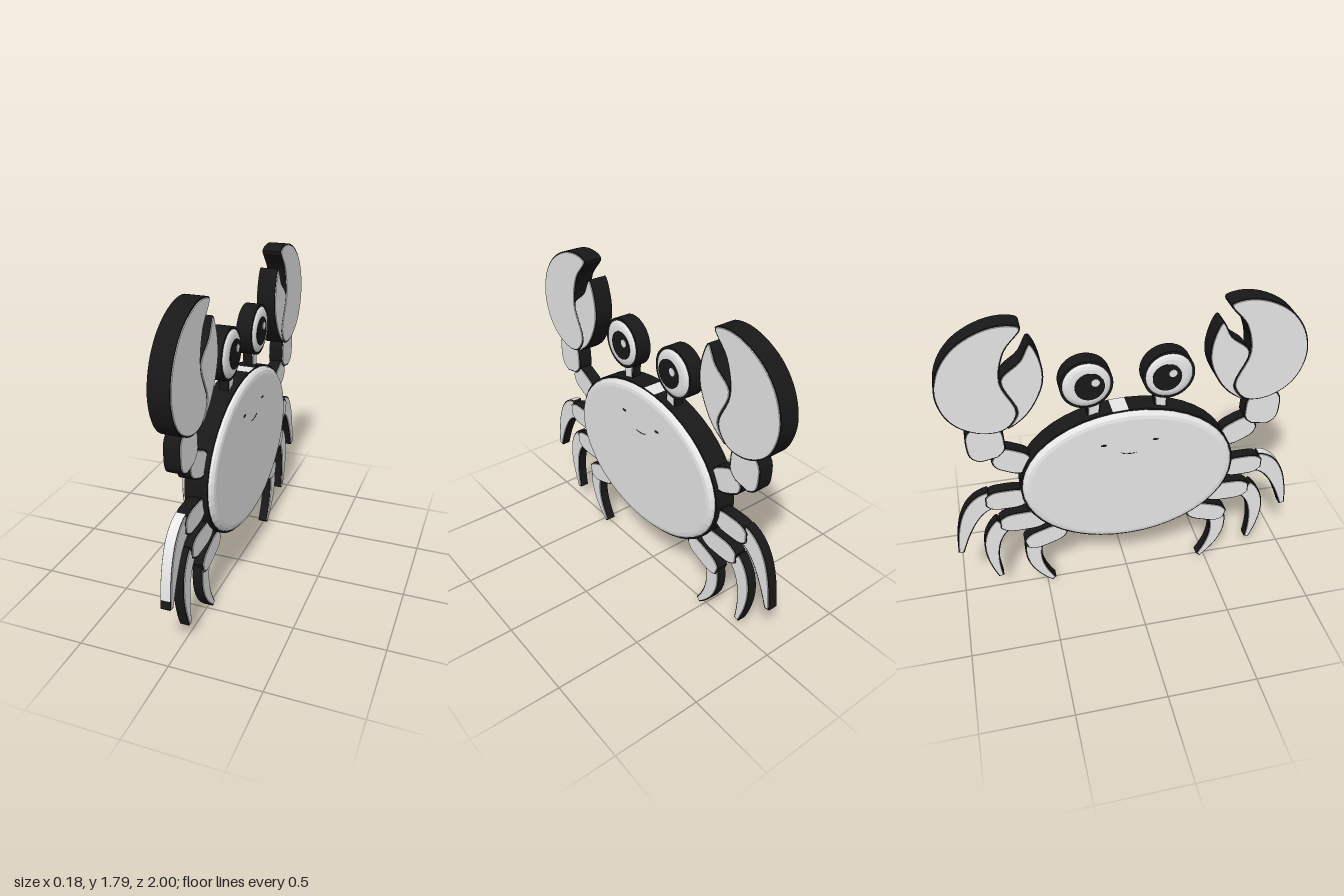
import * as THREE from 'three';

function flatColour(name, color) {
  const material = new THREE.MeshStandardMaterial({ color });
  material.name = name;
  return material;
}
const light = flatColour('shell light grey', 0xe8e8e8);
const dark = flatColour('outline black', 0x181818);
const white = flatColour('eye white', 0xf4f4f4);

// Closed smooth outline through a few [z, y] points
function blob(points) {
  const curve = new THREE.CatmullRomCurve3(
    points.map(([z, y]) => new THREE.Vector3(z, y, 0)), true, 'centripetal');
  return curve.getPoints(points.length * 5).slice(0, -1);
}

// Outline swept along a bent centre line, with half width given by a rule of t
function limb(from, bend, to, halfWidth) {
  const line = new THREE.QuadraticBezierCurve(
    new THREE.Vector2(...from), new THREE.Vector2(...bend), new THREE.Vector2(...to));
  const upper = [], lower = [];
  for (let i = 0; i <= 14; i++) {
    const t = i / 14, p = line.getPoint(t), d = line.getTangent(t), w = halfWidth(t);
    upper.push(new THREE.Vector2(p.x - d.y * w, p.y + d.x * w));
    lower.unshift(new THREE.Vector2(p.x + d.y * w, p.y - d.x * w));
  }
  return [...upper, ...lower];
}

const taper = (start, end) => t => start + (end - start) * t * t;
const rounded = w => t => w * (1 - 0.55 * Math.abs(2 * t - 1) ** 4);

// Straight joint with rounded ends
function joint(from, to, w) {
  return limb(from, [(from[0] + to[0]) / 2, (from[1] + to[1]) / 2], to, rounded(w));
}

function ellipse(z, y, rz, ry) {
  return new THREE.Shape(new THREE.EllipseCurve(z, y, rz, ry).getPoints(44).slice(0, -1));
}

// Slab extruded across x, centred, with an optional inset and rounded rim
function slab(name, shape, half, material, inset = 0, bevel = 0, bevelSize = 0, bevelSegments = 1) {
  const geo = new THREE.ExtrudeGeometry(shape, {
    depth: 2 * (half - bevel), bevelEnabled: bevel > 0, bevelThickness: bevel,
    bevelSize, bevelOffset: -inset - bevelSize, bevelSegments
  });
  geo.translate(0, 0, bevel - half);
  geo.rotateY(-Math.PI / 2);
  const mesh = new THREE.Mesh(geo, material);
  mesh.name = name;
  return mesh;
}

// Colours the rim faces of a dark slab light wherever the rule (y, z, normal) holds
function lightenRim(mesh, rule) {
  const { position, normal } = mesh.geometry.attributes;
  const { start, count } = mesh.geometry.groups[1];
  mesh.geometry.clearGroups();
  mesh.geometry.addGroup(0, start, 0);
  for (let i = start; i < start + count; i += 6) {
    const isLight = rule(position.getY(i), position.getZ(i), normal.getY(i), normal.getZ(i));
    mesh.geometry.addGroup(i, 6, isLight ? 1 : 0);
  }
  mesh.material = [dark, light];
}

// Dark-edged part with light faces on both sides
function part(name, points, side, half) {
  const shape = new THREE.Shape(points.map(p => new THREE.Vector2(p.x * side, p.y)));
  const g = new THREE.Group();
  g.name = name;
  g.add(slab(name + 'Edge', shape, half - 0.004, dark));
  g.add(slab(name + 'Face', shape, half, light, 0.006, 0.005, 0.002));
  return g;
}

// Big claw, pincer and two arm joints
function makeArm(side) {
  const arm = new THREE.Group();
  arm.name = 'arm';
  const claw = part('claw', blob([
    [0.53, 1.77], [0.6, 1.795], [0.72, 1.78], [0.86, 1.705], [0.95, 1.59], [0.985, 1.445], [0.95, 1.31],
    [0.88, 1.23], [0.76, 1.18], [0.65, 1.195], [0.585, 1.29], [0.655, 1.48], [0.62, 1.65]]), side, 0.058);
  const pincer = part('pincer', blob([
    [0.495, 1.68], [0.45, 1.59], [0.44, 1.46], [0.495, 1.325], [0.56, 1.245], [0.64, 1.195],
    [0.585, 1.29], [0.655, 1.49], [0.55, 1.59]]), side, 0.057);
  claw.position.x = pincer.position.x = 0.005;
  arm.add(claw, pincer);
  arm.add(part('upperArm', limb([0.765, 1.22], [0.775, 1.11], [0.755, 1.005], rounded(0.102)), side, 0.045));
  arm.add(part('lowerArm', joint([0.545, 0.925], [0.735, 1.015], 0.075), side, 0.038));
  return arm;
}

// Three legs, each a rounded thigh and a curved, tapering tip
function makeLegs(side) {
  const legs = new THREE.Group();
  legs.name = 'legs';
  const add = (name, hip, knee, thighWidth, start, bend, foot, tipWidths) => {
    const tip = part(name + 'Tip', limb(start, bend, foot, taper(...tipWidths)), side, 0.03);
    legs.add(tip, part(name + 'Thigh', joint(hip, knee, thighWidth), side, 0.036));
    return tip;
  };
  const upperTip = add('upperLeg', [0.57, 0.705], [0.81, 0.705], 0.067,
    [0.78, 0.71], [0.92, 0.69], [0.985, 0.35], [0.064, 0.017]);
  if (side > 0) lightenRim(upperTip.children[0], (y, z, ny, nz) => nz > 0.2 && y > 0.36);
  add('middleLeg', [0.47, 0.53], [0.745, 0.525], 0.068,
    [0.725, 0.52], [0.86, 0.405], [0.775, 0.11], [0.055, 0.016]);
  add('lowerLeg', [0.37, 0.42], [0.61, 0.34], 0.064,
    [0.55, 0.36], [0.615, 0.19], [0.46, 0.015], [0.052, 0.016]);
  return legs;
}

// Eye: stalk, dark rim, domed white, pupil, and a glint on each face
function makeEye(side) {
  const eye = new THREE.Group();
  eye.name = 'eye';
  const z = 0.22 * side, pupilZ = 0.206 * side;
  eye.add(part('eyeStalk', limb([0.185, 1.18], [0.183, 1.24], [0.18, 1.31], taper(0.033, 0.042)), side, 0.03));
  eye.add(slab('eyeRim', ellipse(z, 1.4, 0.141, 0.141), 0.044, dark));
  eye.add(slab('eyeWhite', ellipse(z, 1.4, 0.141, 0.141), 0.06, white, 0.01, 0.025, 0.05, 4));
  eye.add(slab('pupil', ellipse(pupilZ, 1.397, 0.079, 0.079), 0.063, dark));
  for (const face of [1, -1]) {
    const glint = slab('glint', ellipse(pupilZ - face * 0.03, 1.42, 0.022, 0.022), 0.002, white);
    glint.position.x = face * 0.0635;
    eye.add(glint);
  }
  return eye;
}

export function createModel() {
  const crab = new THREE.Group();
  crab.name = 'crab';

  // Body: dark rim around a thicker, domed shell, with a light spot on top
  const outline = ellipse(0, 0.78, 0.61, 0.447);
  const rim = slab('bodyRim', outline, 0.062, dark);
  lightenRim(rim, (y, z, ny) => ny > 0.99 && Math.abs(z) < 0.06);
  crab.add(rim);
  crab.add(slab('bodyShell', outline, 0.09, light, 0.009, 0.03, 0.04, 3));

  // Small smile, showing on both faces
  const smile = new THREE.Shape();
  smile.moveTo(0.035, 0.957);
  smile.quadraticCurveTo(-0.02, 0.945, -0.05, 0.968);
  smile.quadraticCurveTo(-0.02, 0.953, 0.035, 0.957);
  crab.add(slab('smile', smile, 0.092, dark));

  for (const side of [1, -1]) {
    const half = new THREE.Group();
    half.name = side > 0 ? 'frontHalf' : 'backHalf';
    half.add(makeArm(side), makeLegs(side), makeEye(side));
    half.add(slab('cheekMark', ellipse(0.145 * side, 1.03, 0.016, 0.006), 0.092, dark));
    crab.add(half);
  }
  return crab;
}
